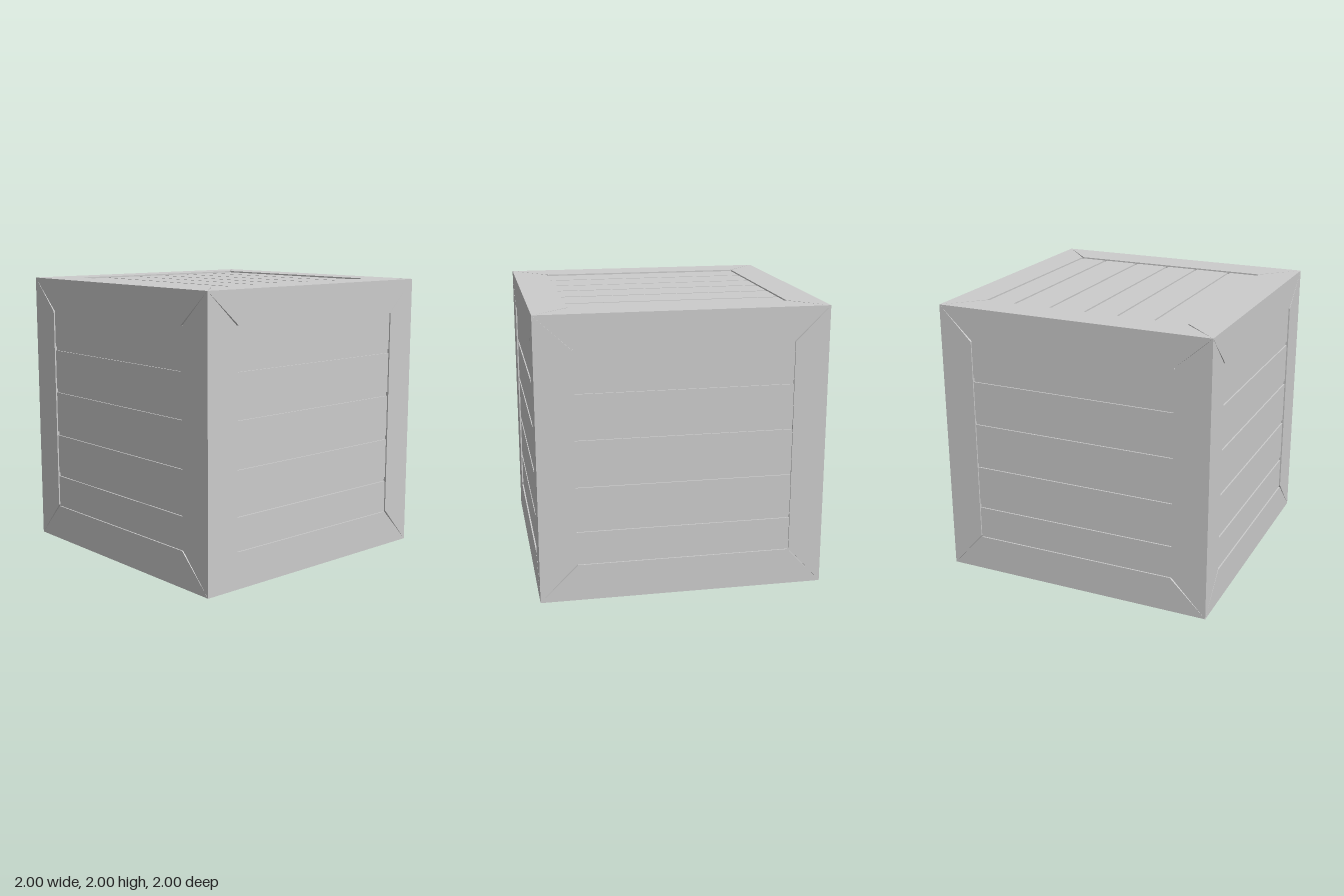
import * as THREE from 'three';

const material = new THREE.MeshStandardMaterial({ color: 0xcccccc, flatShading: true });
const PLANK_FACE = 0.99; // planks sit just behind the frame
const CORE_FACE = 0.98; // solid core, seen at the bottom of the gaps
const BACK = 0.96; // hidden back of frame bars and planks
const MITRE_GAP = 0.008;

// Plank edges in pairs (start, end), measured from the crate's centre
const SIDE_PLANKS = [-0.74, -0.505, -0.475, -0.185, -0.155, 0.145, 0.175, 0.465, 0.495, 0.767];
const LID_PLANKS = [-0.765, -0.565, -0.545, -0.29, -0.27, -0.025, -0.005, 0.22, 0.237, 0.49, 0.51, 0.743];
const RANGE = [-0.763, 0.743];
const flip = (list) => list.map((n) => -n).reverse();

// Mitred frame bar; its hidden outer edge is bevelled so neighbouring sides meet cleanly
function frameBar(name, corners) {
  const shape = new THREE.Shape(corners.map(([x, y]) => new THREE.Vector2(x, y)));
  const geometry = new THREE.ExtrudeGeometry(shape, { depth: 1 - BACK, bevelEnabled: false });
  geometry.translate(0, 0, BACK);
  const p = geometry.attributes.position;
  for (let i = 0; i < p.count; i++) {
    if (p.getZ(i) > 0.99) continue;
    p.setX(i, THREE.MathUtils.clamp(p.getX(i), -BACK, BACK));
    p.setY(i, THREE.MathUtils.clamp(p.getY(i), -BACK, BACK));
  }
  geometry.computeVertexNormals();
  const mesh = new THREE.Mesh(geometry, material);
  mesh.name = name;
  return mesh;
}

// One face of the crate, built facing +z
function cratePanel(name, [left, right], planks) {
  const panel = new THREE.Group();
  panel.name = name;
  const bottom = planks[0];
  const top = planks[planks.length - 1];
  const g = MITRE_GAP;
  panel.add(
    frameBar('topBar', [[1, 1], [-1, 1], [left + g, top], [right - g, top]]),
    frameBar('bottomBar', [[-1, -1], [1, -1], [right - g, bottom], [left + g, bottom]]),
    frameBar('leftBar', [[-1, 1], [-1, -1], [left, bottom + g], [left, top - g]]),
    frameBar('rightBar', [[1, -1], [1, 1], [right, top - g], [right, bottom + g]])
  );
  for (let i = 0; i < planks.length; i += 2) {
    const geometry = new THREE.BoxGeometry(right - left, planks[i + 1] - planks[i], PLANK_FACE - BACK);
    const plank = new THREE.Mesh(geometry, material);
    plank.position.set((left + right) / 2, (planks[i] + planks[i + 1]) / 2, (PLANK_FACE + BACK) / 2);
    plank.name = 'plank';
    panel.add(plank);
  }
  return panel;
}

export function createModel() {
  const crate = new THREE.Group();
  crate.name = 'crate';

  const core = new THREE.Mesh(new THREE.BoxGeometry(2 * CORE_FACE, 2 * CORE_FACE, 2 * CORE_FACE), material);
  core.name = 'core';
  core.position.y = 1;
  crate.add(core);

  // Opposite faces mirror each other: name, rotation x, rotation y, width range, planks
  const quarter = Math.PI / 2;
  const faces = [
    ['frontPanel', 0, 0, RANGE, SIDE_PLANKS],
    ['backPanel', 0, Math.PI, flip(RANGE), SIDE_PLANKS],
    ['leftPanel', 0, quarter, flip(RANGE), SIDE_PLANKS],
    ['rightPanel', 0, -quarter, RANGE, SIDE_PLANKS],
    ['topPanel', -quarter, 0, RANGE, flip(LID_PLANKS)],
    ['bottomPanel', quarter, 0, RANGE, LID_PLANKS],
  ];
  for (const [name, rx, ry, range, planks] of faces) {
    const panel = cratePanel(name, range, planks);
    panel.rotation.set(rx, ry, 0);
    panel.position.y = 1;
    crate.add(panel);
  }
  return crate;
}
